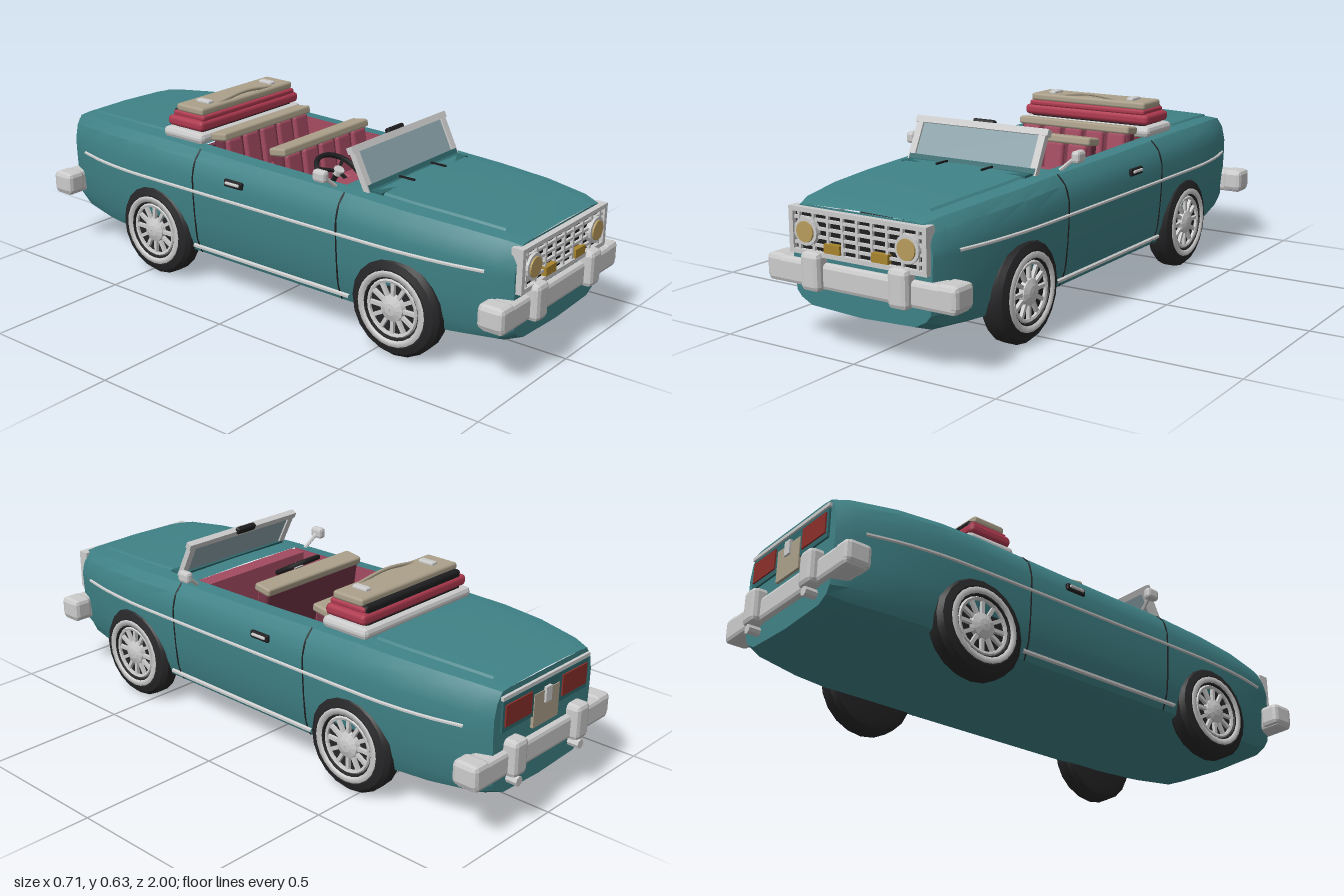
import * as THREE from 'three';
import { toCreasedNormals } from 'three/addons/utils/BufferGeometryUtils.js';
import { RoundedBoxGeometry } from 'three/addons/geometries/RoundedBoxGeometry.js';

const mat = (color, extra = {}) => new THREE.MeshStandardMaterial({ color, ...extra });
const teal = mat(0x3f8287), darkTeal = mat(0x2f686c), chrome = mat(0xcccccc, { flatShading: true });
const black = mat(0x1e1e20), rubber = mat(0x262628), pink = mat(0xa34a60), rose = mat(0xb03a50);
const darkPink = mat(0x733446), beige = mat(0xaba08a), amber = mat(0xa8842e), lamp = mat(0xb89c5c);
const red = mat(0x8a2f2a), glass = mat(0x8ba3aa, { side: THREE.DoubleSide });

// Body stations, front to back: z, half width, top, bottom
const STATIONS = [
  [0.955, 0.262, 0.443, 0.135], [0.9, 0.284, 0.455, 0.115], [0.75, 0.312, 0.468, 0.104],
  [0.57, 0.329, 0.476, 0.1], [0.38, 0.332, 0.484, 0.1], [0, 0.332, 0.489, 0.1],
  [-0.46, 0.331, 0.5, 0.1], [-0.6, 0.328, 0.499, 0.1], [-0.75, 0.31, 0.495, 0.105],
  [-0.9, 0.275, 0.484, 0.115], [-0.955, 0.252, 0.474, 0.13]
];

// Interpolated station at any z
function at(z) {
  const S = STATIONS;
  let i = 0;
  while (i < S.length - 2 && z < S[i + 1][0]) i++;
  const k = (S[i][0] - z) / (S[i][0] - S[i + 1][0]);
  return S[i].map((v, n) => v + (S[i + 1][n] - v) * k);
}
const zRange = (front, back) =>
  [front, ...STATIONS.map(s => s[0]).filter(z => z < front - 0.01 && z > back + 0.01), back];

// Skin over cross-sections, one per z, with optional end caps
function loft(zs, section, caps = false) {
  const rows = zs.map(z => section(...at(z)).map(([x, y]) => [x, y, z]));
  const pos = [], tri = (...p) => p.forEach(v => pos.push(...v));
  const n = rows[0].length;
  for (let i = 0; i < rows.length - 1; i++) {
    for (let j = 0; j < n - 1; j++) {
      const a = rows[i][j], b = rows[i][j + 1], c = rows[i + 1][j], d = rows[i + 1][j + 1];
      tri(a, b, c);
      tri(b, d, c);
    }
  }
  if (caps) {
    const first = rows[0], last = rows[rows.length - 1];
    for (let j = 0; j < n; j++) {
      const k = (j + 1) % n;
      tri([0, 0.3, first[0][2]], first[k], first[j]);
      tri([0, 0.3, last[0][2]], last[j], last[k]);
    }
  }
  const g = new THREE.BufferGeometry();
  g.setAttribute('position', new THREE.Float32BufferAttribute(pos, 3));
  return toCreasedNormals(g, 0.45);
}

function add(parent, name, geometry, material, x = 0, y = 0, z = 0) {
  const m = new THREE.Mesh(geometry, material);
  m.name = name;
  m.position.set(x, y, z);
  parent.add(m);
  return m;
}
const box = (p, name, m, w, h, d, x, y, z) => add(p, name, new THREE.BoxGeometry(w, h, d), m, x, y, z);
const soft = (p, name, m, w, h, d, x, y, z, r = 0.012) =>
  add(p, name, new RoundedBoxGeometry(w, h, d, 1, r), m, x, y, z);
const tube = (p, name, m, pts, r) => add(p, name, new THREE.TubeGeometry(
  new THREE.CatmullRomCurve3(pts.map(q => new THREE.Vector3(...q))), pts.length * 4, r, 6), m);

// Half outline from the deck edge down to the keel
const outline = (z, w, t, b) => [
  [0.72 * w, t], [0.87 * w, t - 0.004], [0.955 * w, t - 0.035], [w, t - 0.085], [w, 0.345],
  [0.985 * w, 0.26], [0.955 * w, 0.175], [0.89 * w, b + 0.02], [0.74 * w, b], [0, b - 0.008]
];
function hull(...s) {
  const h = outline(...s);
  return [...h, ...h.slice(0, -1).reverse().map(([x, y]) => [-x, y])];
}
const deck = (z, w, t) => [[-0.72 * w, t], [0, t + 0.004], [0.72 * w, t]];
const lid = (z, w, t) => [[-0.7 * w, t], [-0.68 * w, t + 0.007], [0, t + 0.012], [0.68 * w, t + 0.007], [0.7 * w, t]];
const tub = (z, w, t) => [[-0.72 * w, t], [-0.7 * w, 0.27], [0.7 * w, 0.27], [0.72 * w, t]];

function makeWheel() {
  const g = new THREE.Group();
  const ring = (pts, n) => new THREE.LatheGeometry(pts.map(p => new THREE.Vector2(...p)), n).rotateZ(-Math.PI / 2);
  add(g, 'tyre', toCreasedNormals(ring([[0.001, -0.045], [0.125, -0.045], [0.152, -0.038], [0.165, -0.022], [0.165, 0.022],
    [0.152, 0.038], [0.13, 0.046], [0.1, 0.044], [0.095, 0.026], [0.001, 0.026]], 20), 0.4), rubber);
  add(g, 'whitewall', ring([[0.126, 0.04], [0.124, 0.049], [0.106, 0.05], [0.1, 0.03]], 24), mat(0xcccccc));
  add(g, 'rim', new THREE.TorusGeometry(0.09, 0.007, 5, 24).rotateY(Math.PI / 2), chrome, 0.036);
  add(g, 'hub', ring([[0.046, 0.025], [0.042, 0.042], [0.02, 0.05], [0.001, 0.052]], 12), chrome);
  for (let i = 0; i < 12; i++) {
    const a = i * Math.PI / 6;
    box(g, 'spoke', chrome, 0.012, 0.055, 0.012, 0.033, Math.cos(a) * 0.064, Math.sin(a) * 0.064).rotation.x = a;
  }
  return g;
}

// Bench with ribbed cushion and leaning backrest
function makeBench(name, z) {
  const g = new THREE.Group();
  g.name = name;
  const cushion = new THREE.Group(), back = new THREE.Group();
  cushion.position.set(0, 0.33, 0.13);
  back.position.set(0, 0.42, 0.03);
  back.rotation.x = -0.15;
  soft(cushion, 'cushion', darkPink, 0.45, 0.1, 0.18, 0, 0, 0);
  soft(back, 'backrest', darkPink, 0.45, 0.2, 0.045, 0, 0, 0);
  for (let i = 0; i < 5; i++) {
    const x = (i - 2) * 0.088;
    soft(cushion, 'cushionRib', pink, 0.074, 0.03, 0.17, x, 0.045, 0.006);
    soft(back, 'backrestRib', pink, 0.074, 0.19, 0.03, x, 0, 0.022);
  }
  soft(back, 'backrestTop', beige, 0.455, 0.028, 0.07, 0, 0.105, 0.004, 0.008);
  g.add(cushion, back);
  g.position.z = z;
  return g;
}

function makeBumper(name, dir) {
  const g = new THREE.Group();
  g.name = name;
  soft(g, 'bumperBar', chrome, 0.7, 0.082, 0.08, 0, 0.235, dir * 0.935, 0.014);
  for (const s of [-1, 1]) {
    soft(g, 'bumperEnd', chrome, 0.075, 0.08, 0.09, s * 0.317, 0.24, dir * 0.93, 0.016);
    soft(g, 'overrider', chrome, 0.07, 0.12, 0.08, s * 0.163, 0.25, dir * 0.96, 0.016);
  }
  return g;
}

export function createModel() {
  const car = new THREE.Group();
  car.name = 'convertible';

  // Body, decks and cockpit
  add(car, 'body', loft(zRange(0.955, -0.955), hull, true), teal);
  add(car, 'frontDeck', loft(zRange(0.955, 0.32), deck), teal);
  add(car, 'rearDeck', loft(zRange(-0.29, -0.955), deck), teal);
  add(car, 'hood', loft(zRange(0.88, 0.43), lid), teal);
  add(car, 'trunkLid', loft(zRange(-0.49, -0.9), lid), teal);
  add(car, 'cockpitLining', loft(zRange(0.32, -0.29), tub), pink);
  box(car, 'dashboard', pink, 0.466, 0.2, 0.06, 0, 0.38, 0.3);
  box(car, 'rearBulkhead', darkPink, 0.466, 0.21, 0.02, 0, 0.385, -0.285);
  car.add(makeBench('frontBench', 0), makeBench('rearBench', -0.265));

  // Steering wheel
  const steer = new THREE.Group();
  steer.name = 'steeringWheel';
  steer.position.set(-0.13, 0.475, 0.2);
  steer.rotation.x = -1.05;
  add(steer, 'steeringRim', new THREE.TorusGeometry(0.078, 0.009, 6, 20), black);
  add(steer, 'steeringHub', new THREE.CylinderGeometry(0.018, 0.018, 0.02, 10).rotateX(Math.PI / 2), chrome);
  for (let i = 0; i < 3; i++) {
    const a = i * Math.PI * 2 / 3;
    box(steer, 'steeringSpoke', black, 0.01, 0.07, 0.008, Math.sin(a) * 0.04, -Math.cos(a) * 0.04, 0).rotation.z = a;
  }
  tube(steer, 'steeringColumn', black, [[0, 0, 0], [0, 0, -0.11]], 0.01);
  car.add(steer);

  // Windshield, hinged at its foot and leaning back
  const shield = new THREE.Group();
  shield.name = 'windshield';
  shield.position.set(0, 0.485, 0.405);
  shield.rotation.x = -0.46;
  box(shield, 'glass', glass, 0.46, 0.12, 0.008, 0, 0.065, 0);
  box(shield, 'topFrame', chrome, 0.515, 0.022, 0.022, 0, 0.135, 0);
  box(shield, 'bottomFrame', darkTeal, 0.49, 0.022, 0.022, 0, 0.004, 0);
  for (const s of [-1, 1]) box(shield, 'sideFrame', chrome, 0.025, 0.145, 0.02, s * 0.238, 0.065, 0);
  soft(shield, 'rearViewMirror', black, 0.085, 0.024, 0.02, 0, 0.148, -0.01, 0.006);
  car.add(shield);
  box(car, 'cowl', darkTeal, 0.48, 0.016, 0.06, 0, 0.481, 0.43);

  // Folded roof: stacked layers with an arched handle and two clasps
  const roof = new THREE.Group();
  roof.name = 'foldedRoof';
  soft(roof, 'roofBase', chrome, 0.53, 0.038, 0.185, 0, 0.513, -0.38, 0.015);
  soft(roof, 'roofGap', black, 0.47, 0.09, 0.14, 0, 0.55, -0.38);
  soft(roof, 'roofFold', rose, 0.515, 0.038, 0.165, 0, 0.555, -0.376, 0.015);
  soft(roof, 'roofFoldUpper', rose, 0.48, 0.02, 0.145, 0, 0.58, -0.372, 0.008);
  soft(roof, 'roofTop', beige, 0.475, 0.028, 0.125, 0, 0.601, -0.37, 0.01);
  tube(roof, 'roofArch', beige, [[-0.14, 0.612, -0.325], [0, 0.626, -0.325], [0.14, 0.612, -0.325]], 0.006);
  for (const s of [-1, 1]) soft(roof, 'roofClasp', chrome, 0.028, 0.02, 0.06, s * 0.163, 0.614, -0.365, 0.005);
  car.add(roof);

  // Grille and lamps
  const grille = new THREE.Group();
  grille.name = 'grille';
  box(grille, 'grilleBack', black, 0.5, 0.135, 0.02, 0, 0.365, 0.95);
  for (const y of [0.302, 0.43]) box(grille, 'grilleEdge', chrome, 0.51, 0.014, 0.04, 0, y, 0.955);
  for (let i = 1; i < 5; i++) box(grille, 'grilleBar', chrome, 0.49, 0.009, 0.014, 0, 0.302 + i * 0.0256, 0.962);
  for (let i = -4; i <= 4; i++) box(grille, 'grilleUpright', chrome, 0.009, 0.125, 0.014, i * 0.055, 0.366, 0.963);
  for (const s of [-1, 1]) {
    box(grille, 'grilleSide', chrome, 0.016, 0.13, 0.04, s * 0.247, 0.366, 0.955);
    add(grille, 'headlampRim', new THREE.CylinderGeometry(0.043, 0.043, 0.03, 16).rotateX(Math.PI / 2), chrome, s * 0.188, 0.366, 0.963);
    add(grille, 'headlamp', new THREE.CylinderGeometry(0.032, 0.036, 0.03, 16).rotateX(Math.PI / 2), lamp, s * 0.188, 0.366, 0.968);
    box(grille, 'indicator', amber, 0.06, 0.028, 0.024, s * 0.089, 0.325, 0.966);
  }
  car.add(grille, makeBumper('frontBumper', 1), makeBumper('rearBumper', -1));

  // Tail end
  box(car, 'tailPanel', darkTeal, 0.44, 0.1, 0.012, 0, 0.39, -0.956);
  box(car, 'plate', beige, 0.13, 0.11, 0.018, 0, 0.355, -0.956);
  box(car, 'plateLatch', chrome, 0.03, 0.05, 0.02, 0, 0.395, -0.962);
  box(car, 'tailTrim', chrome, 0.45, 0.012, 0.02, 0, 0.45, -0.955);

  for (const s of [-1, 1]) {
    const edge = (name, m, y, z0, z1, f, r) =>
      tube(car, name, m, zRange(z0, z1).map(z => [s * at(z)[1] * f, y, z]), r);
    edge('sideTrim', chrome, 0.355, 0.87, -0.87, 1.003, 0.006);
    edge('sillTrim', chrome, 0.145, 0.39, -0.29, 0.935, 0.008);
    for (const z of [0.35, -0.27]) {
      const pts = outline(...at(z)).slice(1, 8).map(([x, y]) => [s * (x - 0.001), y, z]);
      tube(car, 'doorSeam', black, pts, 0.003);
    }
    soft(car, 'doorHandle', black, 0.014, 0.026, 0.08, s * 0.332, 0.421, -0.08, 0.005);
    soft(car, 'doorHandleBar', chrome, 0.012, 0.01, 0.06, s * 0.339, 0.423, -0.08, 0.003);
    tube(car, 'mirrorArm', chrome, [[s * 0.265, 0.482, 0.295], [s * 0.29, 0.504, 0.29], [s * 0.318, 0.528, 0.285]], 0.007);
    soft(car, 'mirror', chrome, 0.03, 0.04, 0.05, s * 0.326, 0.53, 0.285, 0.01);
    box(car, 'wiper', black, 0.006, 0.006, 0.06, s * 0.088, 0.494, 0.445);
    box(car, 'tailLamp', red, 0.13, 0.07, 0.02, s * 0.145, 0.392, -0.957);
    add(car, 'exhaust', new THREE.CylinderGeometry(0.016, 0.016, 0.1, 8).rotateX(Math.PI / 2), chrome, s * 0.163, 0.172, -0.945);
    for (const z of [0.573, -0.465]) {
      const wheel = makeWheel();
      wheel.name = z > 0 ? 'frontWheel' : 'rearWheel';
      wheel.position.set(s * 0.295, 0.165, z);
      if (s < 0) wheel.rotation.y = Math.PI;
      car.add(wheel);
    }
  }
  return car;
}
